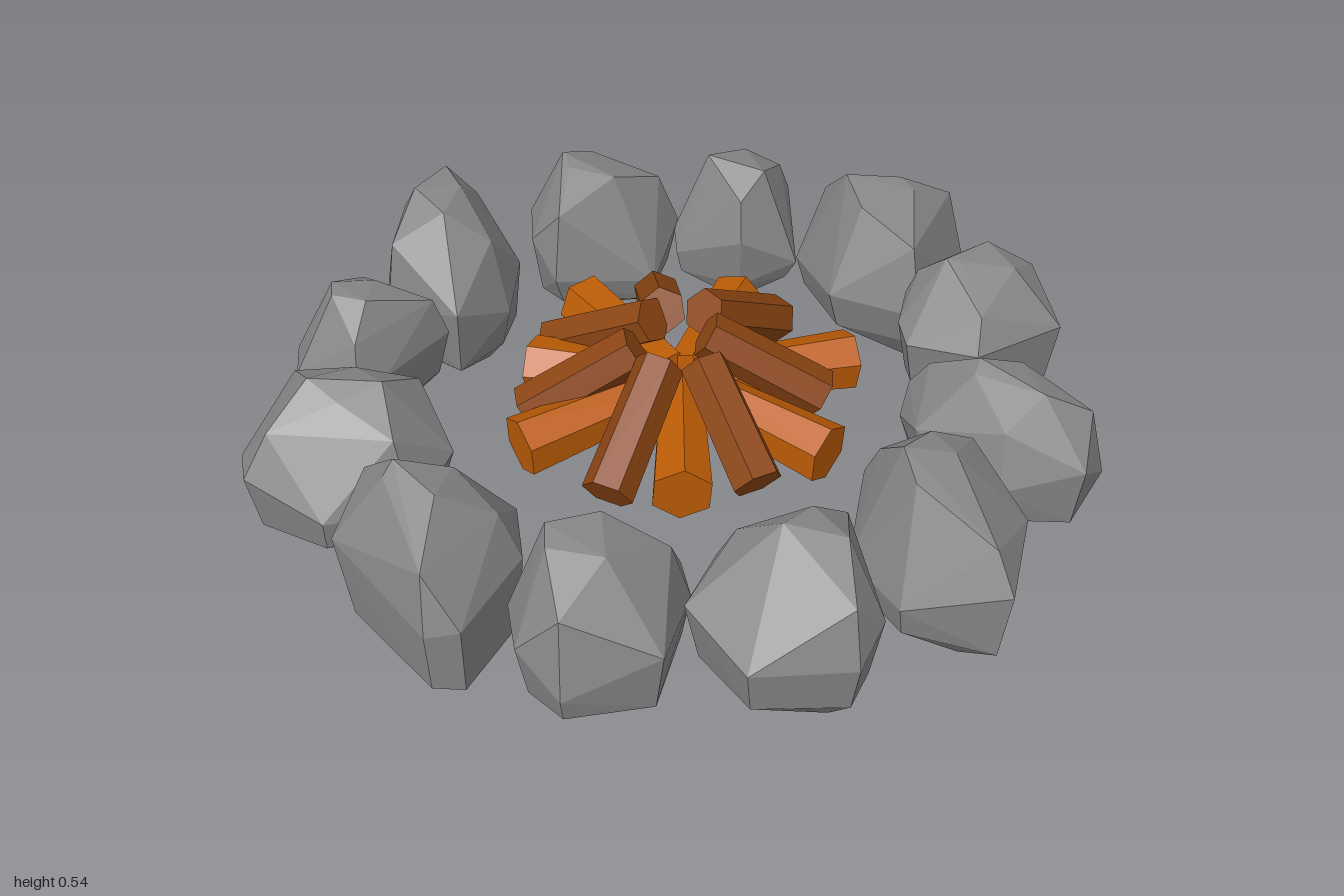
import * as THREE from 'three';
import { ConvexGeometry } from 'three/addons/geometries/ConvexGeometry.js';

const material = (color) => new THREE.MeshStandardMaterial({ color, flatShading: true });

// Small seeded generator, returns -1..1
function seeded(seed) {
  let s = seed * 7919 + 17;
  return () => {
    s = (s * 16807) % 2147483647;
    return (s / 2147483647) * 2 - 1;
  };
}

// Faceted boulder: hull of a plan outline around mid height plus smaller rings,
// drawn in towards the peak above and towards the foot below
function stoneGeometry(y0, y1, peak, foot, outline, seed) {
  const rnd = seeded(seed);
  rnd();
  const points = [];
  const add = ([x, z], [cx, cz], scale, t) => points.push(new THREE.Vector3(
    cx + (x - cx) * scale, y0 + (y1 - y0) * t, cz + (z - cz) * scale));
  outline.forEach((p, i) => {
    add(p, peak, 1, 0.47 + 0.15 * rnd());
    add(p, foot, 0.88 + 0.05 * rnd(), 0.2);
    if (i % 2 === 0) add(p, peak, 0.38 + 0.1 * rnd(), i === 0 ? 1 : 0.95 + 0.04 * rnd());
    else {
      add(p, peak, 0.8 + 0.06 * rnd(), 0.8);
      add(p, foot, 0.52 + 0.1 * rnd(), i === 1 ? 0 : 0.05 + 0.04 * rnd());
    }
  });
  return new ConvexGeometry(points);
}

// Six-sided log from a top view start and tip, each x, z, at the given heights
function log([x0, z0], [x1, z1], y0, y1, r0, r1, mat) {
  const from = new THREE.Vector3(x0, y0, z0);
  const to = new THREE.Vector3(x1, y1, z1);
  const dir = to.clone().sub(from);
  const mesh = new THREE.Mesh(new THREE.CylinderGeometry(r1, r0, dir.length(), 6), mat);
  mesh.position.copy(from).add(to).multiplyScalar(0.5);
  mesh.quaternion.setFromUnitVectors(new THREE.Vector3(0, 1, 0), dir.normalize());
  return mesh;
}

export function createModel() {
  const model = new THREE.Group();

  // Ring of stones
  const ring = new THREE.Group();
  ring.name = 'stoneRing';
  model.add(ring);
  const grey = material(0x868686);
  const stone = (y0, y1, peak, foot, ...outline) => {
    const id = ring.children.length + 1;
    const mesh = new THREE.Mesh(stoneGeometry(y0, y1, peak, foot, outline, id), grey);
    mesh.name = `stone${id}`;
    ring.add(mesh);
  };
  // bottom, top, peak, foot, then the plan outline as x, z corners
  stone(0.05, 0.50, [-.29, -.74], [-.28, -.74], [-.46, -.75], [-.41, -.93], [-.31, -.95], [-.06, -.80], [-.11, -.58], [-.37, -.53], [-.44, -.61]);
  stone(0.05, 0.47, [.10, -.83], [.09, -.80], [-.07, -.78], [.01, -.95], [.15, -1], [.24, -.93], [.27, -.72], [.12, -.66], [-.06, -.74]);
  stone(0.05, 0.51, [.50, -.63], [.53, -.62], [.27, -.70], [.30, -.78], [.60, -.80], [.70, -.76], [.73, -.68], [.59, -.40], [.36, -.48]);
  stone(0.11, 0.49, [.74, -.35], [.73, -.30], [.53, -.26], [.55, -.37], [.76, -.51], [.90, -.43], [.93, -.24], [.72, -.11], [.55, -.19]);
  stone(0.09, 0.48, [.77, .11], [.75, .15], [.53, .05], [.55, -.01], [.87, -.04], [1, .19], [.94, .31], [.75, .32], [.56, .17]);
  stone(0.05, 0.49, [.56, .42], [.58, .56], [.41, .50], [.44, .32], [.62, .21], [.72, .25], [.80, .46], [.75, .73], [.52, .67]);
  stone(0.07, 0.50, [.35, .70], [.28, .74], [.06, .78], [.12, .64], [.26, .53], [.41, .55], [.48, .81], [.43, .92], [.20, .94]);
  stone(0.07, 0.49, [-.19, .74], [-.15, .80], [-.32, .75], [-.26, .63], [.04, .58], [.07, .70], [.03, .94], [-.18, .99], [-.28, .92]);
  stone(0.00, 0.51, [-.50, .60], [-.43, .68], [-.73, .55], [-.70, .47], [-.34, .45], [-.30, .64], [-.40, .87], [-.48, .87], [-.72, .63]);
  stone(0.06, 0.48, [-.75, .25], [-.80, .28], [-1, .32], [-.95, .10], [-.73, .05], [-.57, .12], [-.51, .28], [-.58, .43], [-.78, .49], [-.97, .42]);
  stone(0.09, 0.46, [-.81, -.14], [-.80, -.14], [-.98, -.16], [-.83, -.31], [-.67, -.29], [-.60, -.20], [-.72, 0], [-.78, .06], [-.95, -.02]);
  stone(0.03, 0.54, [-.66, -.50], [-.64, -.43], [-.81, -.42], [-.79, -.55], [-.65, -.71], [-.56, -.66], [-.46, -.51], [-.47, -.36], [-.58, -.22], [-.78, -.33]);

  // Leaning pile of logs around an open middle: start and tip of each
  const upper = new THREE.Group();
  upper.name = 'upperLogs';
  const brown = material(0x8b4513);
  [
    [[.06, -.01], [.34, -.01]], [[.06, .11], [.20, .34]], [[-.04, .12], [-.14, .40]],
    [[-.10, .06], [-.36, .10]], [[-.07, -.06], [-.33, -.18]], [[-.05, -.10], [-.09, -.41]],
    [[.05, -.10], [.22, -.32]],
  ].forEach(([start, tip]) => upper.add(log(start, tip, 0.445, 0.28, 0.058, 0.062, brown)));

  // Nearly flat star of thicker logs underneath
  const lower = new THREE.Group();
  lower.name = 'lowerLogs';
  const orange = material(0xbc5c06);
  [
    [.41, -.16], [.36, .22], [.03, .39], [-.36, .24], [-.37, -.08], [-.27, -.36], [.12, -.40],
  ].forEach(([x, z]) => lower.add(log([x * 0.08, z * 0.08], [x, z], 0.31, 0.28, 0.056, 0.076, orange)));

  [[upper, 'upperLog'], [lower, 'lowerLog']].forEach(([group, name]) => {
    group.children.forEach((mesh, i) => { mesh.name = `${name}${i + 1}`; });
    model.add(group);
  });
  return model;
}
